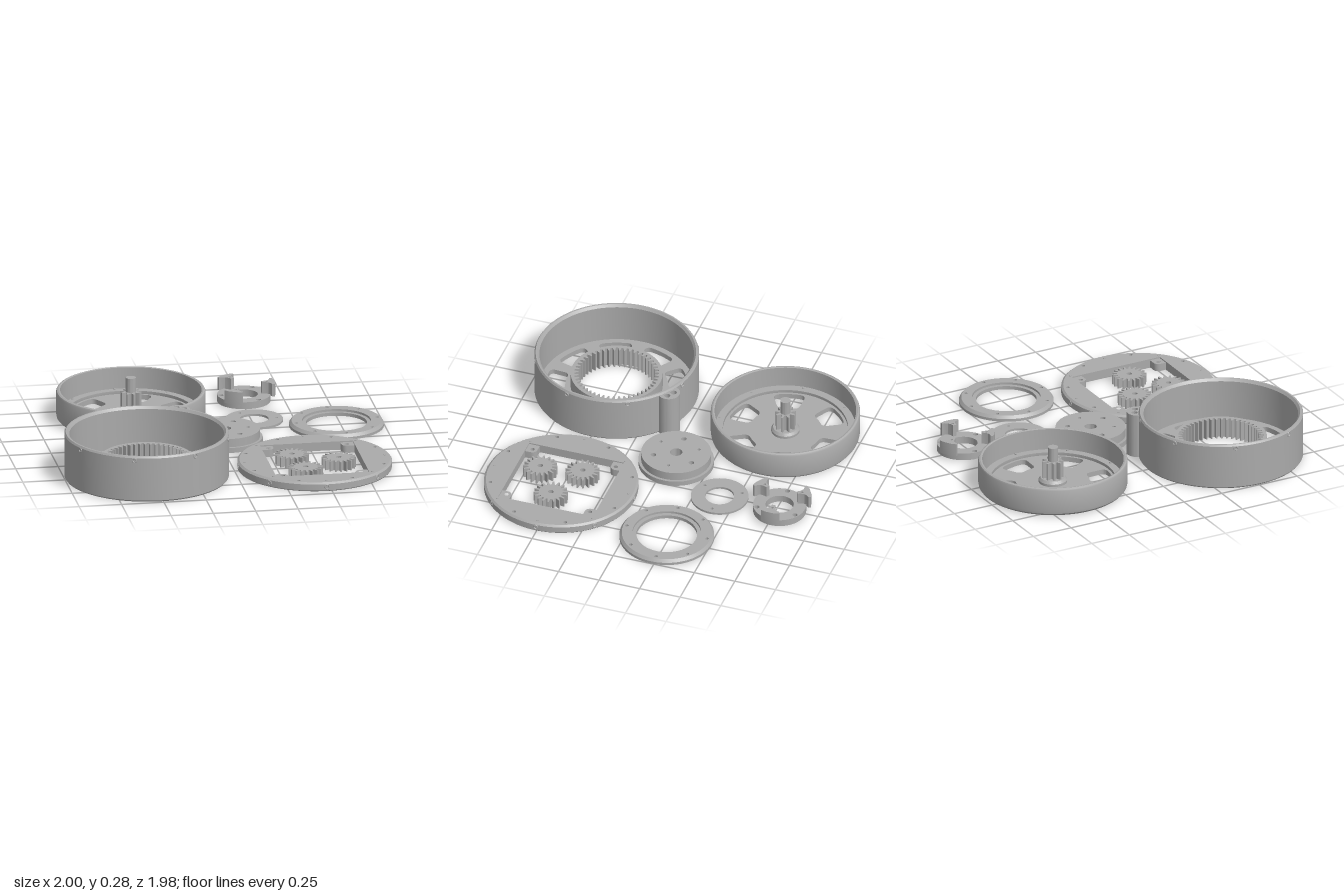
import * as THREE from 'three';
import { toCreasedNormals } from 'three/addons/utils/BufferGeometryUtils.js';

const grey = new THREE.MeshStandardMaterial({ color: 0xaaaaaa });
grey.name = 'machined grey';
const RAD = Math.PI / 180;

// Plan outlines: x to the right, y towards the back of the model
const polar = (r, deg) => new THREE.Vector2(r * Math.cos(deg * RAD), r * Math.sin(deg * RAD));
const circle = (r, n = 96, c = new THREE.Vector2()) =>
  Array.from({ length: n }, (_, i) => polar(r, (i * 360) / n).add(c));
const holeRing = (count, r, size, phase = 0) =>
  Array.from({ length: count }, (_, i) => circle(size, 14, polar(r, phase + (i * 360) / count)));

function gear(teeth, root, tip, phase = 0) {
  const pts = [], step = 360 / teeth;
  for (let i = 0; i < teeth; i++) {
    const a = phase + i * step;
    pts.push(polar(root, a - step * 0.3), polar((root + tip) / 2, a - step * 0.22), polar(tip, a - step * 0.11),
      polar(tip, a + step * 0.11), polar((root + tip) / 2, a + step * 0.22), polar(root, a + step * 0.3));
  }
  return pts;
}

// Ring-sector opening with rounded corners
function sector(r0, r1, half, mid, c = 0.03) {
  const a = mid - half, b = mid + half, d0 = c / r0 / RAD, d1 = c / r1 / RAD;
  const p = new THREE.Path();
  const corner = (r, ang, end) => { const k = polar(r, ang); p.quadraticCurveTo(k.x, k.y, end.x, end.y); };
  p.absarc(0, 0, r0, (a + d0) * RAD, (b - d0) * RAD, false);
  corner(r0, b, polar(r0 + c, b));
  const up = polar(r1 - c, b);
  p.lineTo(up.x, up.y);
  corner(r1, b, polar(r1, b - d1));
  p.absarc(0, 0, r1, (b - d1) * RAD, (a + d1) * RAD, true);
  corner(r1, a, polar(r1 - c, a));
  const down = polar(r0 + c, a);
  p.lineTo(down.x, down.y);
  corner(r0, a, polar(r0, a + d0));
  return p.getPoints(6);
}

function add(group, name, geometry) {
  const mesh = new THREE.Mesh(toCreasedNormals(geometry, 0.5), grey);
  mesh.name = name;
  group.add(mesh);
  return mesh;
}

// Flat plate from an outline with holes, lying between y0 and y1
function plate(group, name, outline, holes, y0, y1) {
  const shape = new THREE.Shape(outline);
  shape.holes = holes.map(h => new THREE.Path(h));
  const g = new THREE.ExtrudeGeometry(shape, { depth: y1 - y0, bevelEnabled: false });
  g.rotateX(-Math.PI / 2).translate(0, y0, 0);
  return add(group, name, g);
}

// Turned part from a closed profile of [radius, height], counter-clockwise
function turned(group, name, profile) {
  const pts = [...profile, profile[0]].map(p => new THREE.Vector2(...p));
  return add(group, name, new THREE.LatheGeometry(pts, 96));
}

// Screw hole rims around a side wall
function sideScrews(group, r, y, phase) {
  for (let i = 0; i < 8; i++) {
    const a = (phase + i * 45) * RAD;
    const rim = add(group, 'sideScrewRim', new THREE.TorusGeometry(0.012, 0.004, 6, 14));
    rim.position.set(r * Math.sin(a), y, r * Math.cos(a));
    rim.rotation.y = a;
  }
}

function part(root, name, x, z) {
  const g = new THREE.Group();
  g.name = name;
  g.position.set(x, 0, z);
  root.add(g);
  return g;
}

export function createModel() {
  const root = new THREE.Group();
  root.name = 'planetaryGearDriveParts';

  // Rotor cup with windows, sun gear and shaft
  const rotor = part(root, 'rotorCup', -0.436, -0.561);
  const rotorWindows = [0, 1, 2, 3, 4, 5].map(i => sector(0.215, 0.35, 16, 15 + i * 60, 0.035));
  plate(rotor, 'rotorFloor', circle(0.38), rotorWindows, 0, 0.03);
  turned(rotor, 'rotorWall', [[0.37, 0], [0.405, 0], [0.422, 0.006], [0.432, 0.018], [0.435, 0.035],
    [0.435, 0.165], [0.431, 0.174], [0.422, 0.178], [0.412, 0.175], [0.41, 0.048], [0.365, 0.048], [0.365, 0.01]]);
  for (let i = 0; i < 8; i++) {
    const p = polar(0.398, 4 + i * 45);
    add(rotor, 'ledgePin', new THREE.CylinderGeometry(0.007, 0.007, 0.01, 10)).position.set(p.x, 0.048, -p.y);
  }
  turned(rotor, 'sunHub', [[0, 0.02], [0.083, 0.02], [0.083, 0.045], [0.072, 0.06], [0, 0.06]]);
  plate(rotor, 'sunGear', gear(9, 0.037, 0.062), [], 0.055, 0.165);
  add(rotor, 'shaft', new THREE.CylinderGeometry(0.03, 0.03, 0.1, 32)).position.y = 0.2;

  // Tall ring gear housing
  const housing = part(root, 'ringGearHousing', -0.52, 0.508);
  const windows = Array.from({ length: 9 }, (_, i) => sector(0.3, 0.415, 14, i * 40));
  plate(housing, 'housingFloor', circle(0.46), [circle(0.25), ...windows], 0, 0.03);
  turned(housing, 'housingWall', [[0.45, 0], [0.473, 0], [0.479, 0.008], [0.479, 0.266], [0.472, 0.277],
    [0.462, 0.277], [0.45, 0.262]]);
  plate(housing, 'ringGear', circle(0.268), [gear(48, 0.247, 0.222)], 0, 0.12);
  sideScrews(housing, 0.479, 0.253, 27);
  const bossCentre = polar(0.484, 58);
  const boss = circle(0.066, 48, bossCentre).map(p => p.length() < 0.456 ? p.setLength(0.456) : p);
  const wireHoles = [55, 60.5].map(a => circle(0.018, 14, polar(0.503, a)));
  plate(housing, 'wireBoss', boss, wireHoles, 0, 0.265);

  // Base disc with square opening
  const base = part(root, 'baseDisc', 0.471, 0.505);
  const opening = [[-0.274, -0.292], [0.274, -0.292], [0.274, 0.292], [-0.274, 0.292]]
    .map(p => new THREE.Vector2(...p));
  plate(base, 'basePlate', circle(0.435), [opening, ...holeRing(8, 0.413, 0.011, 22.5)], 0, 0.052);
  turned(base, 'baseEdge', [[0.43, 0], [0.446, 0], [0.45, 0.005], [0.45, 0.042], [0.438, 0.052], [0.43, 0.052]]);
  sideScrews(base, 0.45, 0.026, 0);
  for (let i = 0; i < 8; i++) {
    const p = polar(0.413, i * 45);
    add(base, 'edgePin', new THREE.CylinderGeometry(0.007, 0.007, 0.01, 10)).position.set(p.x, 0.05, -p.y);
  }
  for (const sx of [-1, 1]) for (const sy of [-1, 1]) {
    const centre = new THREE.Vector2(0.23, 0.257);
    const arc = [180, 200, 220, 240, 255, 270].map(a => polar(0.03, a).add(centre));
    const flip = p => new THREE.Vector2(p.x * sx, p.y * sy);
    const tab = [new THREE.Vector2(0.28, 0.3), new THREE.Vector2(0.2, 0.3), ...arc, new THREE.Vector2(0.28, 0.227)];
    plate(base, 'cornerTab', tab.map(flip), [circle(0.013, 14, centre).map(flip)], 0, 0.045);
  }

  // Three planet gears inside the opening
  for (const [x, z, phase] of [[0.352, 0.414, 0], [0.392, 0.661, 6], [0.61, 0.52, 10]]) {
    const planet = part(root, 'planetGear', x, z);
    plate(planet, 'planetTeeth', gear(18, 0.07, 0.1, phase), [circle(0.016, 20)], 0, 0.06);
  }

  // Stepped cover ring
  const cover = part(root, 'coverRing', 0.723, -0.234);
  plate(cover, 'coverFlange', circle(0.262), [circle(0.2), ...holeRing(8, 0.242, 0.01, 4)], 0, 0.033);
  turned(cover, 'coverOuterEdge', [[0.257, 0], [0.276, 0], [0.276, 0.016], [0.262, 0.033], [0.257, 0.033]]);
  turned(cover, 'coverInnerStep', [[0.177, 0], [0.205, 0], [0.205, 0.02], [0.177, 0.02]]);

  // Output hub disc
  const hub = part(root, 'outputHub', 0.035, -0.052);
  const bolts = [circle(0.036, 32), ...holeRing(3, 0.135, 0.016, 60), ...holeRing(3, 0.135, 0.01, 0)];
  plate(hub, 'hubFlange', circle(0.22), [...bolts, ...holeRing(6, 0.09, 0.013, 30)], 0, 0.03);
  plate(hub, 'hubTop', circle(0.204), bolts, 0.03, 0.08);

  // Thin washer
  const washer = part(root, 'thrustWasher', 0.265, -0.4);
  plate(washer, 'washerPlate', circle(0.168), [circle(0.084), ...holeRing(3, 0.132, 0.009)], 0, 0.013);

  // Planet carrier with three flared posts
  const carrier = part(root, 'planetCarrier', 0.265, -0.77);
  plate(carrier, 'carrierRing', circle(0.155), [circle(0.082), ...holeRing(3, 0.135, 0.015, 60)], 0, 0.042);
  for (let i = 0; i < 3; i++) {
    const side = [[0.105, 6], [0.125, 6.5], [0.145, 9], [0.16, 14], [0.168, 19], [0.182, 18], [0.184, 8]];
    const outline = [...side.map(([r, a]) => polar(r, i * 120 - a)),
      ...side.slice().reverse().map(([r, a]) => polar(r, i * 120 + a))];
    plate(carrier, 'carrierPost', outline, [circle(0.008, 12, polar(0.132, i * 120))], 0.035, 0.112);
  }
  return root;
}
